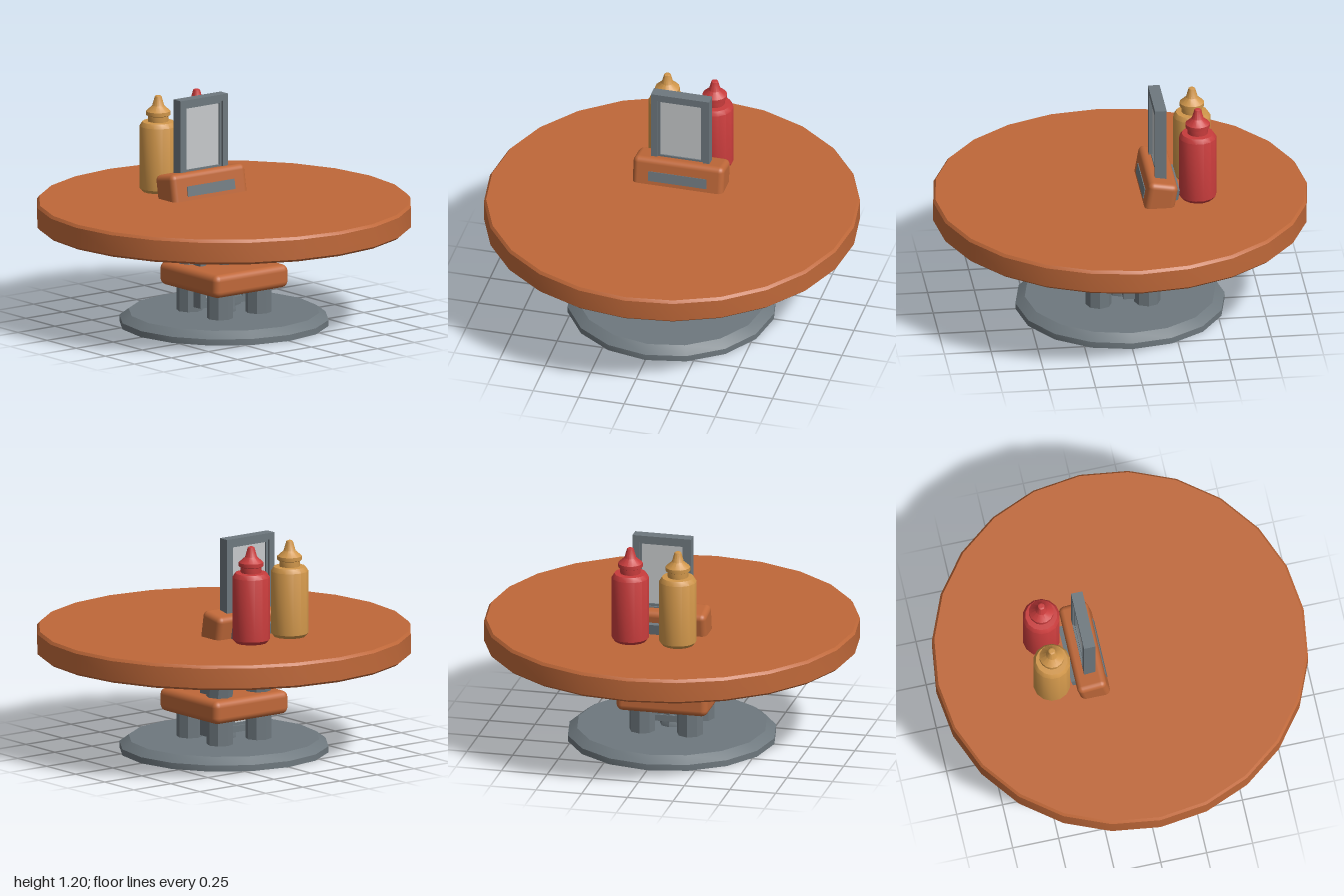
import * as THREE from 'three';
import { toCreasedNormals } from 'three/addons/utils/BufferGeometryUtils.js';
import { RoundedBoxGeometry } from 'three/addons/geometries/RoundedBoxGeometry.js';

const material = (name, color) => {
  const m = new THREE.MeshStandardMaterial({ color });
  m.name = name;
  return m;
};

export function createModel() {
  const wood = material('orange wood', 0xbf6839);
  const metal = material('grey metal', 0x6e787e);
  const panel = material('pale panel', 0xc6c9cb);
  const red = material('red plastic', 0xc83c3c);
  const mustard = material('mustard plastic', 0xd0964a);

  const model = new THREE.Group();
  model.name = 'diningTable';

  const add = (name, geometry, mat, x = 0, y = 0, z = 0, parent = model) => {
    const mesh = new THREE.Mesh(geometry, mat);
    mesh.name = name;
    mesh.position.set(x, y, z);
    parent.add(mesh);
    return mesh;
  };
  // Turned part from [radius, height] pairs, listed bottom to top
  const turned = (profile, sides) => toCreasedNormals(
    new THREE.LatheGeometry(profile.map(([r, y]) => new THREE.Vector2(r, y)), sides), 0.6);
  const post = (r, h) => toCreasedNormals(new THREE.CylinderGeometry(r, r, h, 8), 0.6);

  // Round top and base
  add('tableTop', turned([[0, 0.535], [0.985, 0.535], [1, 0.548], [1, 0.655], [0.988, 0.67], [0, 0.67]], 24), wood);
  add('base', turned([[0, 0], [0.56, 0], [0.56, 0.033], [0.51, 0.07], [0, 0.07]], 16), metal);

  // Central column with a small flared foot
  add('column', turned([[0.065, 0.06], [0.065, 0.085], [0.06, 0.1], [0.06, 0.55]], 8), metal);

  // Seat block on four legs
  add('seat', new RoundedBoxGeometry(0.5, 0.125, 0.5, 3, 0.035), wood, 0, 0.267, 0);
  for (const x of [-0.13, 0.13]) {
    for (const z of [-0.13, 0.13]) add('leg', post(0.07, 0.16), metal, x, 0.14, z);
  }

  // Leaning back: two posts, a padded block and its metal inlays
  const back = new THREE.Group();
  back.name = 'backrest';
  back.position.set(0, 0.67, -0.185);
  back.rotation.x = -0.17;
  model.add(back);
  for (const x of [-0.13, 0.13]) add('backPost', post(0.07, 0.38), metal, x, -0.2, 0, back);
  add('backBlock', new RoundedBoxGeometry(0.5, 0.27, 0.16, 3, 0.03), wood, 0, 0, 0, back);
  add('frontInlay', new THREE.BoxGeometry(0.32, 0.055, 0.008), metal, 0, 0.035, 0.08, back);
  add('rearInlay', new THREE.BoxGeometry(0.32, 0.09, 0.03), metal, 0, 0.03, -0.09, back);

  // Rectangular frame with a stepped rim and a panel seen from both sides
  const ring = (w, h, bar, depth) => {
    const rect = (Type, hw, hh) => {
      const p = new Type();
      p.moveTo(-hw, -hh);
      p.lineTo(hw, -hh);
      p.lineTo(hw, hh);
      p.lineTo(-hw, hh);
      p.closePath();
      return p;
    };
    const shape = rect(THREE.Shape, w / 2, h / 2);
    shape.holes.push(rect(THREE.Path, w / 2 - bar, h / 2 - bar));
    return new THREE.ExtrudeGeometry(shape, { depth, bevelEnabled: false }).translate(0, 0, -depth / 2);
  };
  const addFrame = (name, y, z) => {
    const frame = new THREE.Group();
    frame.name = name;
    frame.position.set(0, y, z);
    model.add(frame);
    add('frameBorder', ring(0.32, 0.43, 0.035, 0.062), metal, 0, 0, 0, frame);
    add('frameRim', ring(0.25, 0.36, 0.013, 0.04), metal, 0, 0, 0, frame);
    add('framePanel', new THREE.BoxGeometry(0.226, 0.336, 0.024), panel, 0, 0, 0, frame);
  };
  addFrame('upperFrame', 0.985, -0.2);
  addFrame('lowerFrame', 0.315, -0.03);

  // Squeeze bottles
  const bottle = turned([[0, 0], [0.085, 0], [0.1, 0.018], [0.1, 0.355], [0.085, 0.378], [0.055, 0.38],
    [0.055, 0.41], [0.066, 0.415], [0.066, 0.435], [0.032, 0.465], [0.018, 0.515], [0.01, 0.52], [0, 0.52]], 14);
  add('redBottle', bottle, red, 0.13, 0.67, -0.4);
  add('mustardBottle', bottle, mustard, -0.13, 0.67, -0.4);

  return model;
}
